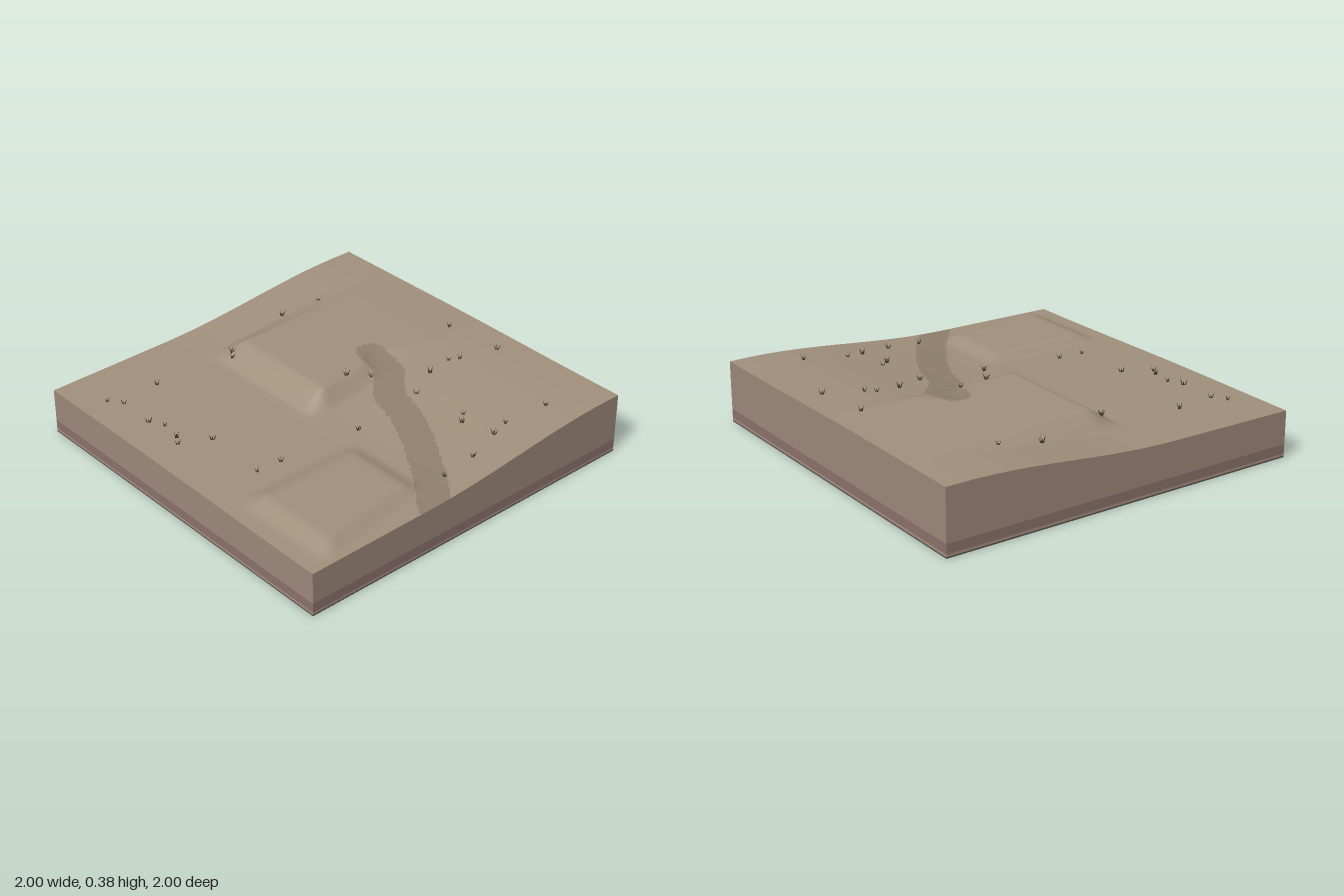
import * as THREE from 'three';

const N = 100; // terrain grid divisions
const ramp = THREE.MathUtils.smoothstep;
const linear = (v, a, b) => THREE.MathUtils.clamp((v - a) / (b - a), 0, 1);
const lerp = THREE.MathUtils.lerp;

// Centre line of the worn path, as [x, z]
const PATH = [[0.35, -0.1], [0.33, 0.05], [0.2, 0.2], [0.14, 0.4], [0.03, 0.6], [-0.1, 0.8], [-0.27, 1.02]];

// Height of the ground: a gentle rise to +x with two levelled terraces
function height(x, z) {
  const base = 0.235 + 0.095 * ramp(x, -0.3, 0.9) + 0.008 * linear(x, -1, -0.2) * (1 - linear(x, -0.2, 0.8))
    + 0.012 * ramp(-z, -0.9, 0.3);
  // Large terrace, its front edge softened where the path climbs it
  const cut = 0.15 * Math.exp(-(((x - 0.36) / 0.1) ** 2));
  const large = linear(x, -0.2, -0.07) * linear(z, -0.74, -0.62)
    * (1 - linear(z, -cut, 0.08 + cut * 0.2)) * (1 - ramp(x, 0.7, 0.98));
  // Small terrace with rounded corners and a skewed front edge
  const front = 0.8 - 0.15 * (x + 0.3);
  const small = ramp(x, -0.92, -0.8) * (1 - ramp(x, -0.29, -0.18))
    * ramp(z, 0.35, 0.46) * (1 - ramp(z, front, front + 0.1));
  return lerp(lerp(base, 0.345, large), 0.278, small);
}

function distanceToPath(x, z) {
  const p = new THREE.Vector3(x, 0, z), q = new THREE.Vector3();
  let best = Infinity;
  for (let i = 0; i < PATH.length - 1; i++) {
    const [a, b] = [PATH[i], PATH[i + 1]].map(([u, v]) => new THREE.Vector3(u, 0, v));
    new THREE.Line3(a, b).closestPointToPoint(p, true, q);
    best = Math.min(best, q.distanceTo(p));
  }
  return best;
}

function addMesh(parent, name, geometry, color, side = THREE.FrontSide) {
  const mesh = new THREE.Mesh(geometry, new THREE.MeshStandardMaterial({ color, side }));
  mesh.name = name;
  parent.add(mesh);
  return mesh;
}

// Ground surface, with the path split off as its own part
function addGround(parent) {
  const ground = new THREE.PlaneGeometry(2, 2, N, N).rotateX(-Math.PI / 2);
  const pos = ground.attributes.position;
  for (let i = 0; i < pos.count; i++) pos.setY(i, height(pos.getX(i), pos.getZ(i)));
  ground.computeVertexNormals();
  const path = new THREE.BufferGeometry();
  path.setAttribute('position', pos);
  path.setAttribute('normal', ground.attributes.normal);
  const soil = [], worn = [], index = ground.index;
  for (let i = 0; i < index.count; i += 3) {
    const tri = [0, 1, 2].map((k) => index.getX(i + k));
    const x = tri.reduce((s, v) => s + pos.getX(v), 0) / 3;
    const z = tri.reduce((s, v) => s + pos.getZ(v), 0) / 3;
    (distanceToPath(x, z) < 0.08 ? worn : soil).push(...tri);
  }
  ground.setIndex(soil);
  path.setIndex(worn);
  addMesh(parent, 'ground', ground, 0xa08f7b);
  addMesh(parent, 'path', path, 0x8f7f6c);
}

// One layer of the cut sides, between two heights, around all four edges
function layerGeometry(low, high) {
  const p = [], index = [];
  for (let side = 0; side < 4; side++) {
    const c = Math.round(Math.cos(side * Math.PI / 2)), s = Math.round(Math.sin(side * Math.PI / 2));
    const start = p.length / 3;
    for (let i = 0; i <= N; i++) {
      const u = -1 + 2 * i / N;
      const x = u * c + s, z = c - u * s;
      p.push(x, low, z, x, high ?? height(x, z), z);
      if (i < N) {
        const k = start + 2 * i;
        index.push(k, k + 2, k + 1, k + 1, k + 2, k + 3);
      }
    }
  }
  const g = new THREE.BufferGeometry();
  g.setAttribute('position', new THREE.Float32BufferAttribute(p, 3));
  g.setIndex(index);
  g.computeVertexNormals();
  return g;
}

// Grass tuft: two crossed upright planes of thin splayed blades
function tuftGeometry() {
  const p = [];
  for (const angle of [0, Math.PI / 2]) {
    const c = Math.cos(angle), s = Math.sin(angle);
    for (const [foot, tip, top] of [[-0.004, -0.018, 0.03], [0, 0.002, 0.022], [0.004, 0.018, 0.034]]) {
      for (const [u, y] of [[foot - 0.004, -0.004], [foot + 0.004, -0.004], [tip, top]]) p.push(u * c, y, u * s);
    }
  }
  const g = new THREE.BufferGeometry();
  g.setAttribute('position', new THREE.Float32BufferAttribute(p, 3));
  g.computeVertexNormals();
  return g;
}

// Tuft positions, as [x, z]
const TUFTS = [
  [-0.86, -0.73], [-0.81, -0.66], [-0.58, -0.69], [-0.82, -0.44], [-0.78, -0.36], [-0.83, -0.19],
  [-0.8, -0.24], [-0.68, -0.11], [-0.69, 0.24], [-0.55, 0.25], [-0.1, 0.3], [0.1, -0.01],
  [0.22, 0.04], [-0.16, -0.6], [-0.14, -0.63], [0.3, -0.75], [0.52, -0.71], [0.83, -0.02],
  [0.3, 0.29], [0.47, 0.21], [0.61, 0.2], [0.66, 0.23], [0.86, 0.3], [0.29, 0.62],
  [0.34, 0.58], [-0.06, 0.86], [0.14, 0.85], [0.33, 0.8], [0.43, 0.78], [0.67, 0.82],
];

export function createModel() {
  const model = new THREE.Group();
  model.name = 'terrainBlock';
  addGround(model);

  // Earth layers of the cut sides, top to bottom
  addMesh(model, 'topsoilSides', layerGeometry(0.07), 0x9d8779);
  addMesh(model, 'darkLayerSides', layerGeometry(0.02, 0.07), 0x8a716c);
  addMesh(model, 'paleLayerSides', layerGeometry(0.008, 0.02), 0xa89080);
  addMesh(model, 'baseEdge', layerGeometry(0, 0.008), 0x5c564e);
  addMesh(model, 'underside', new THREE.PlaneGeometry(2, 2).rotateX(Math.PI / 2), 0x4a463f);

  // Grass
  const grass = new THREE.Group();
  grass.name = 'grass';
  const blade = tuftGeometry();
  TUFTS.forEach(([x, z], i) => {
    const tuft = addMesh(grass, 'grassTuft', blade, 0x3f3a2c, THREE.DoubleSide);
    tuft.position.set(x, height(x, z), z);
    tuft.rotation.y = i * 2.4;
    tuft.scale.setScalar(0.8 + 0.1 * (i % 4));
  });
  model.add(grass);
  return model;
}
